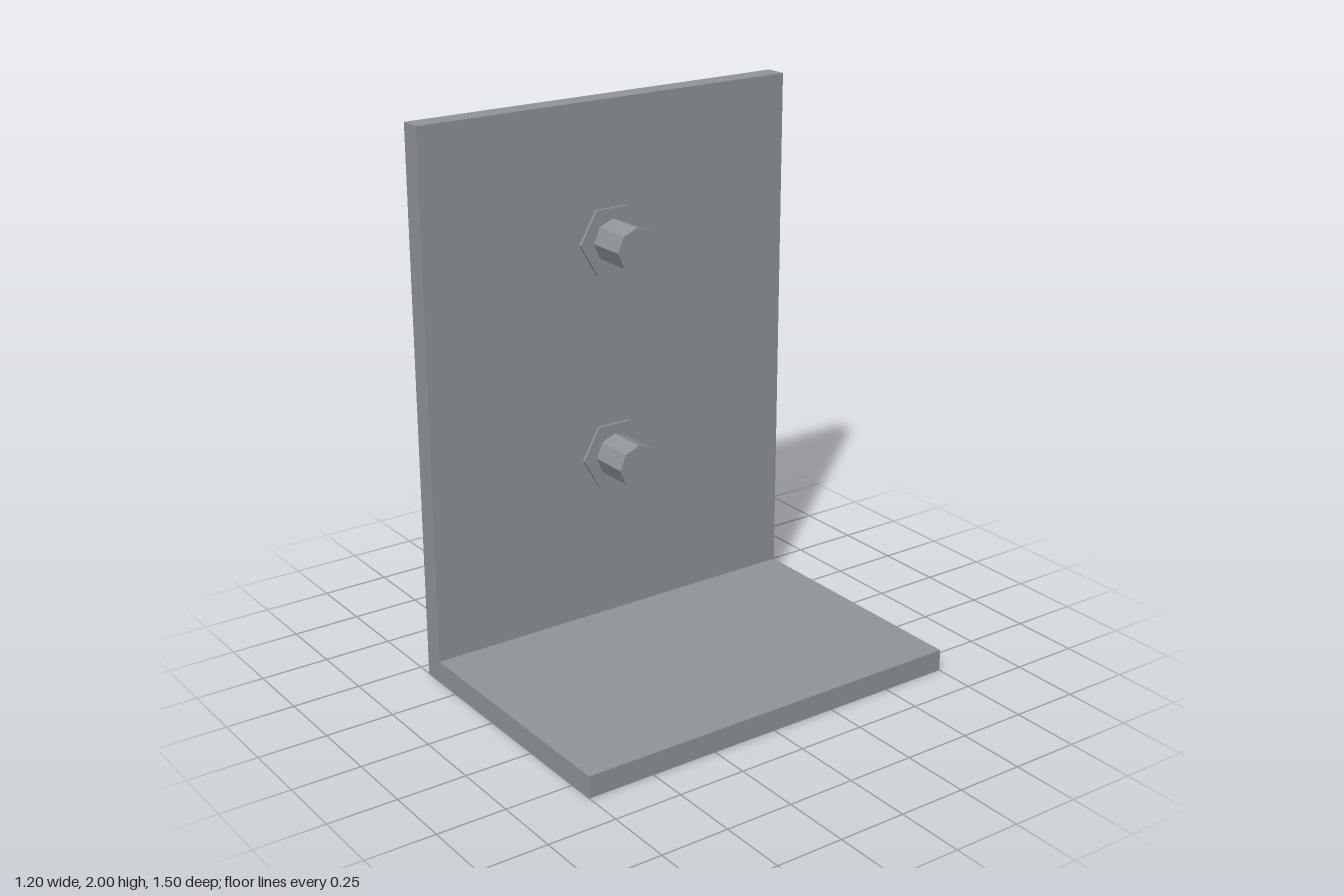
import * as THREE from 'three';

const WALL_X = -0.4; // centre plane of the upright plate

export function createModel() {
  const model = new THREE.Group();
  model.name = 'angleBracket';
  const steel = new THREE.MeshStandardMaterial({ color: 0x90959a, flatShading: true });
  steel.name = 'steel grey';

  // L-shaped bracket: one profile extruded along z
  const outline = [[-0.44, 0], [0.6, 0], [0.6, 0.08], [-0.36, 0.08], [-0.36, 2], [-0.44, 2]];
  const profile = new THREE.Shape(outline.map(([x, y]) => new THREE.Vector2(x, y)));
  const bracketGeometry = new THREE.ExtrudeGeometry(profile, { depth: 1.5, bevelEnabled: false });
  bracketGeometry.translate(0, 0, -0.75);
  const bracket = new THREE.Mesh(bracketGeometry, steel);
  bracket.name = 'bracket';
  model.add(bracket);

  // Prism lying along x through the upright plate
  const prism = (name, radius, length, sides) => {
    const geometry = new THREE.CylinderGeometry(radius, radius, length, sides);
    geometry.rotateZ(Math.PI / 2);
    const mesh = new THREE.Mesh(geometry, steel);
    mesh.name = name;
    return mesh;
  };

  // Two bolts, each with a hexagonal collar showing on both faces
  [['lowerBolt', 0.7], ['upperBolt', 1.5]].forEach(([name, y]) => {
    const bolt = new THREE.Group();
    bolt.name = name;
    bolt.add(prism('shank', 0.08, 0.4, 8), prism('hexCollar', 0.135, 0.1, 6));
    bolt.position.set(WALL_X, y, 0);
    model.add(bolt);
  });

  return model;
}
